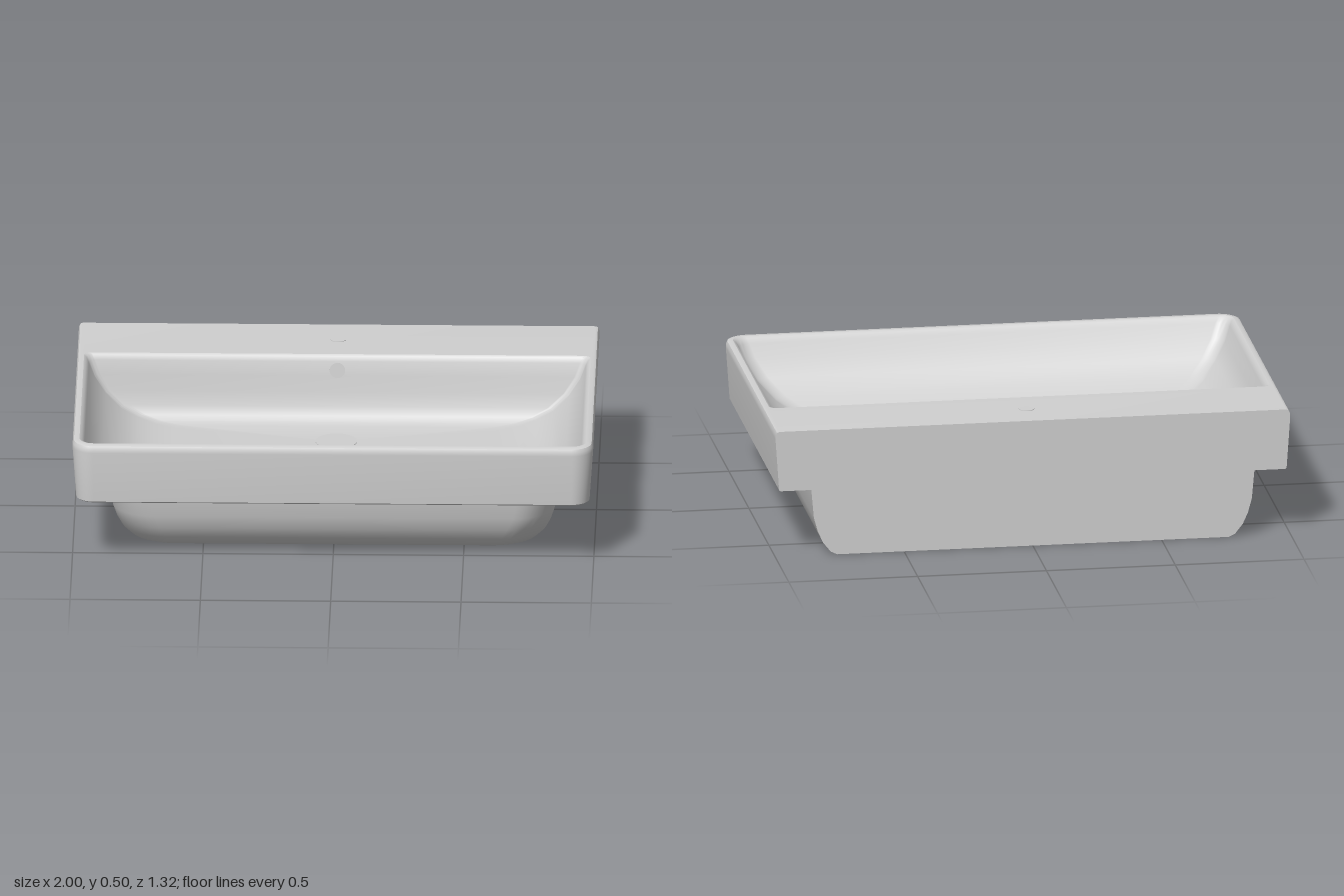
import * as THREE from 'three';
import { toCreasedNormals } from 'three/addons/utils/BufferGeometryUtils.js';

const STEPS = 8; // segments per rounded corner

// Rounded rectangle at height y, running +x -> front -> -x -> back
function ring([hx, zBack, zFront, y, rBack, rFront]) {
  const corners = [
    [hx - rFront, zFront - rFront, rFront, 0],
    [-hx + rFront, zFront - rFront, rFront, 1],
    [-hx + rBack, zBack + rBack, rBack, 2],
    [hx - rBack, zBack + rBack, rBack, 3],
  ];
  const points = [];
  for (const [cx, cz, r, quarter] of corners) {
    for (let i = 0; i <= STEPS; i++) {
      const a = (quarter + i / STEPS) * Math.PI / 2;
      points.push([cx + r * Math.cos(a), y, cz + r * Math.sin(a)]);
    }
  }
  return points;
}

// Skin a list of rings; a ring of zero size closes the end
function loft(profile, crease) {
  const rings = profile.map(ring);
  const n = rings[0].length;
  const index = [];
  for (let i = 0; i < rings.length - 1; i++) {
    for (let j = 0; j < n; j++) {
      const a = i * n + j, b = i * n + (j + 1) % n;
      index.push(a, a + n, b, b, a + n, b + n);
    }
  }
  const geometry = new THREE.BufferGeometry();
  geometry.setAttribute('position', new THREE.Float32BufferAttribute(rings.flat(2), 3));
  geometry.setIndex(index);
  return toCreasedNormals(geometry, crease);
}

export function createModel() {
  const group = new THREE.Group();
  const ceramic = new THREE.MeshStandardMaterial({ color: 0xd0d0d0 });
  ceramic.name = 'ceramic';

  function add(name, geometry) {
    const mesh = new THREE.Mesh(geometry, ceramic);
    mesh.name = name;
    group.add(mesh);
    return mesh;
  }

  // Profile rows: half width, back z, front z, height, back radius, front radius
  const BACK = -0.66;

  // Rounded body under the rim, cut flat at the wall
  add('underBowl', loft([
    [0, 0, 0, 0, 0, 0],
    [0.76, BACK, 0.39, 0, 0, 0.15],
    [0.785, BACK, 0.415, 0.012, 0, 0.16],
    [0.815, BACK, 0.453, 0.05, 0, 0.17],
    [0.835, BACK, 0.478, 0.095, 0, 0.17],
    [0.85, BACK, 0.498, 0.15, 0, 0.16],
    [0.86, BACK, 0.51, 0.262, 0, 0.15],
  ], 0.6));

  // Slightly flared rim with a soft upper edge and a flat deck
  add('rim', loft([
    [0.84, BACK, 0.49, 0.262, 0, 0.14],
    [0.98, BACK, 0.643, 0.262, 0, 0.07],
    [0.985, BACK, 0.648, 0.267, 0, 0.07],
    [0.999, BACK, 0.66, 0.47, 0, 0.08],
    [0.998, BACK, 0.659, 0.485, 0, 0.08],
    [0.993, BACK, 0.654, 0.496, 0, 0.076],
    [0.984, BACK, 0.645, 0.5, 0, 0.07],
    [0.972, -0.343, 0.63, 0.5, 0.03, 0.055],
  ], 0.6));

  // Hollow with steep back and sloping sides and front
  add('basin', loft([
    [0.972, -0.343, 0.63, 0.5, 0.03, 0.055],
    [0.962, -0.335, 0.618, 0.494, 0.03, 0.05],
    [0.953, -0.329, 0.607, 0.475, 0.03, 0.05],
    [0.932, -0.321, 0.585, 0.42, 0.03, 0.05],
    [0.89, -0.314, 0.54, 0.355, 0.03, 0.05],
    [0.83, -0.308, 0.475, 0.298, 0.03, 0.05],
    [0.765, -0.3, 0.41, 0.262, 0.03, 0.05],
    [0.7, -0.285, 0.36, 0.243, 0.03, 0.05],
    [0.62, -0.26, 0.31, 0.235, 0.03, 0.05],
    [0, -0.11, -0.11, 0.23, 0, 0],
  ], 0.7));

  // Flush fittings: drain, overflow and tap hole cover
  const disc = (r) => new THREE.CylinderGeometry(r, r, 0.004, 32);
  add('drain', disc(0.08)).position.set(0, 0.231, -0.11);
  add('tapHoleCover', disc(0.03)).position.set(0, 0.5, -0.5);
  const overflow = add('overflow', disc(0.03));
  overflow.position.set(0, 0.44, -0.324);
  overflow.rotation.x = Math.PI / 2 - 0.14;

  return group;
}
